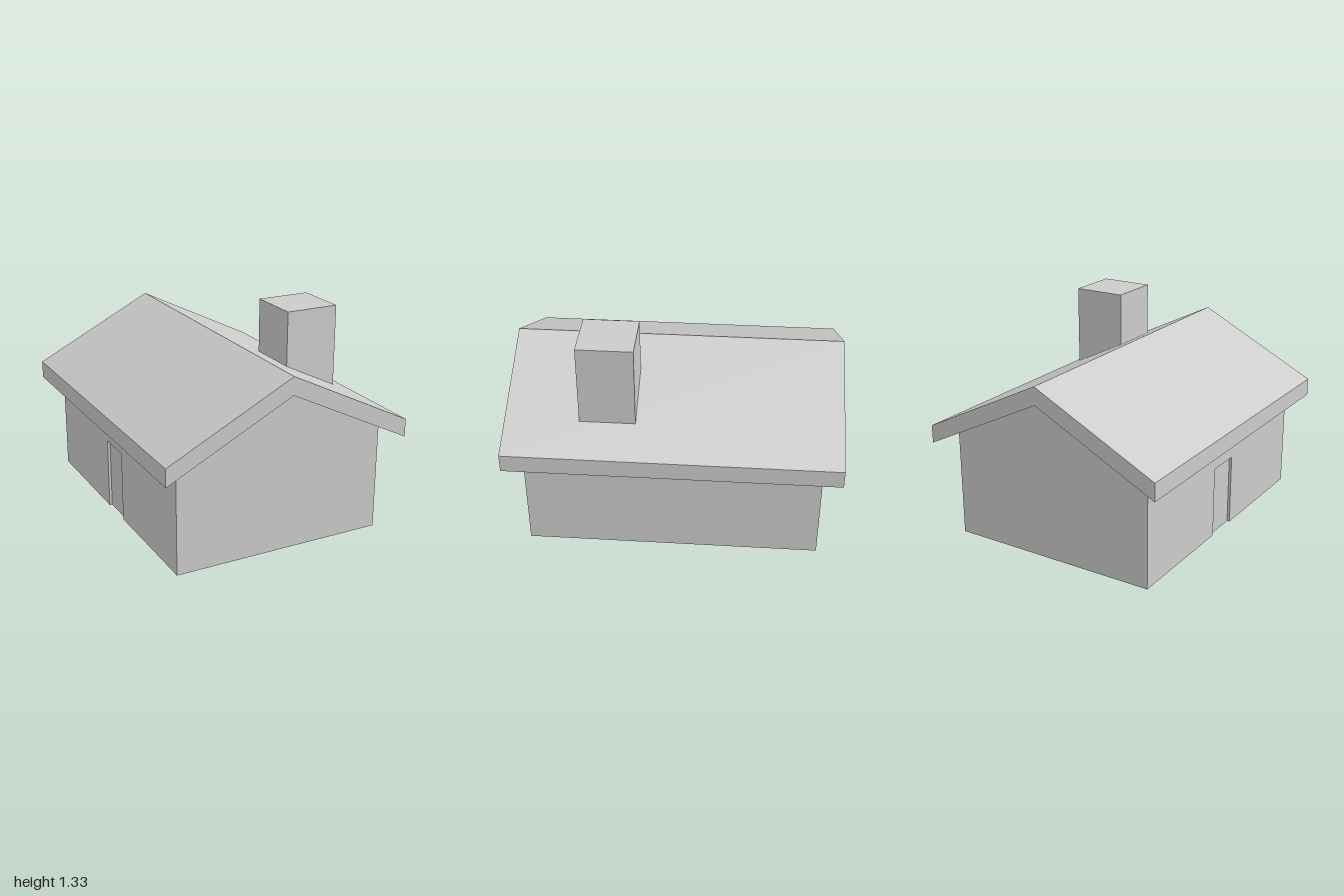
import * as THREE from 'three';

const U = 1 / 9; // modelling unit
const material = new THREE.MeshStandardMaterial({ color: 0xcccccc, flatShading: true });

function polygon(points) {
  return new THREE.Shape(points.map(([x, y]) => new THREE.Vector2(x * U, y * U)));
}

// Extrude a front-facing outline, centred on z = 0
function extrudeZ(points, length) {
  const geometry = new THREE.ExtrudeGeometry(polygon(points), { depth: length * U, bevelEnabled: false });
  return geometry.translate(0, 0, -length * U / 2);
}

function box(x0, x1, y0, y1, z0, z1) {
  const geometry = new THREE.BoxGeometry((x1 - x0) * U, (y1 - y0) * U, (z1 - z0) * U);
  return geometry.translate((x0 + x1) * U / 2, (y0 + y1) * U / 2, (z0 + z1) * U / 2);
}

export function createModel() {
  const house = new THREE.Group();
  house.name = 'house';
  const add = (name, geometry) => {
    const mesh = new THREE.Mesh(geometry, material);
    mesh.name = name;
    house.add(mesh);
  };

  // Gabled body, stopping short of the wall that holds the doorway
  add('body', extrudeZ([[-5, 0], [6, 0], [6, 6], [0, 9], [-5, 6.5]], 16));

  // Side wall with a doorway notch; its inner top edge follows the roof slope
  const wall = new THREE.ExtrudeGeometry(
    polygon([[-8, 0], [-1, 0], [-1, 4], [1, 4], [1, 0], [8, 0], [8, 6], [-8, 6]]),
    { depth: U, bevelEnabled: false }
  );
  wall.rotateY(-Math.PI / 2).translate(-5 * U, 0, 0);
  const p = wall.attributes.position;
  for (let i = 0; i < p.count; i++) {
    if (p.getX(i) > -5.5 * U && p.getY(i) > 5.5 * U) p.setY(i, 6.5 * U);
  }
  wall.computeVertexNormals();
  add('doorwayWall', wall);

  // Door panel set slightly back in the doorway
  add('door', box(-5.85, -5.2, 0, 4, -1, 1));

  // Chevron roof slab with overhanging eaves
  add('roof', extrudeZ([[-7, 5.5], [0, 9], [7, 5.5], [7, 6.5], [0, 10], [-7, 6.5]], 18));

  // Chimney, sunk into the roof slope
  add('chimney', box(2, 5, 7, 12, 2, 5));

  return house;
}
